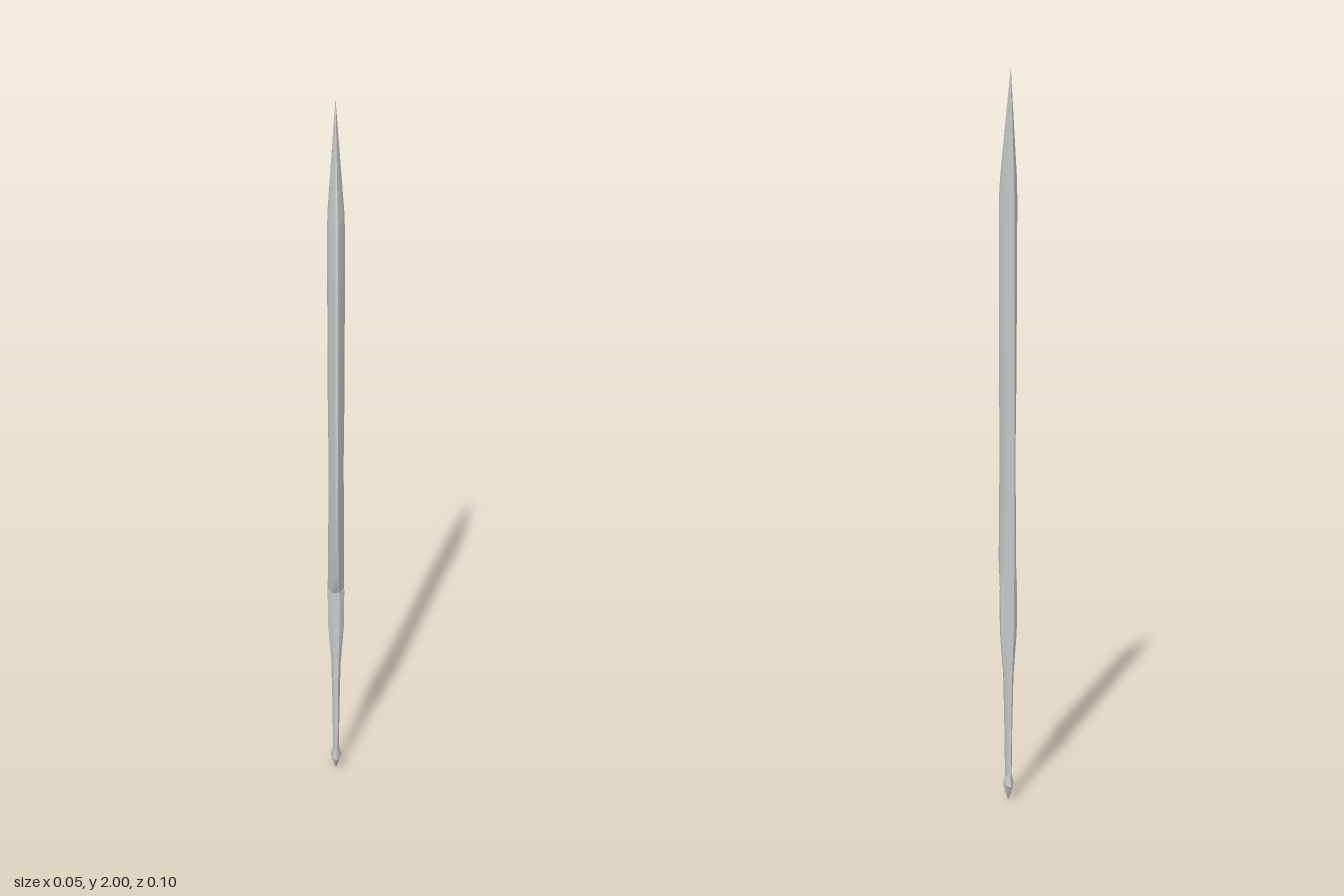
import * as THREE from 'three';
import { toCreasedNormals } from 'three/addons/utils/BufferGeometryUtils.js';

// Ring of 10 points, front to back along +x and mirrored along -x.
// s: y, front z, back z, half width, half width of front edge, half width of back edge
function ring([y, front, back, w, wf, wb], wideFrom, wideTo) {
  const at = (t) => back + (front - back) * t;
  const half = [
    [wf, front],
    [w * 0.6 + wf * 0.4, at((1 + wideTo) / 2)],
    [w, at(wideTo)],
    [w, at(wideFrom)],
    [wb, back],
  ];
  const mirrored = half.map(([x, z]) => [-x, z]).reverse();
  return [...half, ...mirrored].map(([x, z]) => [x, y, z]);
}

// Skin closed rings, listed from bottom to top, and cap both ends
function loft(rings) {
  const n = rings[0].length;
  const index = [];
  for (let i = 0; i < rings.length - 1; i++) {
    for (let j = 0; j < n; j++) {
      const k = (j + 1) % n;
      const a = i * n + j, b = i * n + k, c = b + n, d = a + n;
      index.push(a, b, c, a, c, d);
    }
  }
  const top = (rings.length - 1) * n;
  for (let j = 1; j < n - 1; j++) {
    index.push(0, j + 1, j);
    index.push(top, top + j, top + j + 1);
  }
  const geometry = new THREE.BufferGeometry();
  geometry.setAttribute('position', new THREE.Float32BufferAttribute(rings.flat(2), 3));
  geometry.setIndex(index);
  return toCreasedNormals(geometry, 0.6);
}

export function createModel() {
  const group = new THREE.Group();
  const material = new THREE.MeshStandardMaterial({ color: 0xcccccc });
  const add = (name, geometry) => {
    const mesh = new THREE.Mesh(geometry, material);
    mesh.name = name;
    group.add(mesh);
  };

  // Slender grip, swelling towards the blade
  const grip = [
    [0.06, 0.003, -0.032, 0.008, 0.004, 0.004],
    [0.22, 0.004, -0.033, 0.010, 0.005, 0.005],
    [0.36, 0.005, -0.034, 0.013, 0.006, 0.007],
    [0.48, 0.007, -0.035, 0.022, 0.009, 0.011],
    [0.60, 0.008, -0.036, 0.023, 0.009, 0.012],
  ];
  add('grip', loft(grip.map((s) => ring(s, 0.3, 0.65))));

  // Single-edged blade with a thick spine and a slanted point
  const blade = [
    [0.60, 0.008, -0.036, 0.023, 0.009, 0.012],
    [0.68, 0.053, -0.037, 0.022, 0.004, 0.012],
    [1.00, 0.048, -0.040, 0.020, 0.003, 0.011],
    [1.20, 0.045, -0.041, 0.022, 0.003, 0.011],
    [1.66, 0.038, -0.044, 0.023, 0.003, 0.010],
    [1.72, 0.025, -0.044, 0.021, 0.003, 0.009],
    [2.00, -0.044, -0.045, 0.0006, 0.0003, 0.0003],
  ];
  add('blade', loft(blade.map((s) => ring(s, 0.28, 0.5))));

  // Faceted pommel, a flattened diamond in plan
  const pommel = [
    [0, 0.002, 0.002],
    [0.045, 0.015, 0.036],
    [0.08, 0.007, 0.017],
  ];
  add('pommel', loft(pommel.map(([y, w, d]) => Array.from({ length: 8 }, (_, i) => {
    const a = (i / 8) * Math.PI * 2;
    const r = i % 2 ? 0.85 : 1;
    return [Math.sin(a) * w * r, y, Math.cos(a) * d * r - 0.015];
  }))));

  return group;
}
